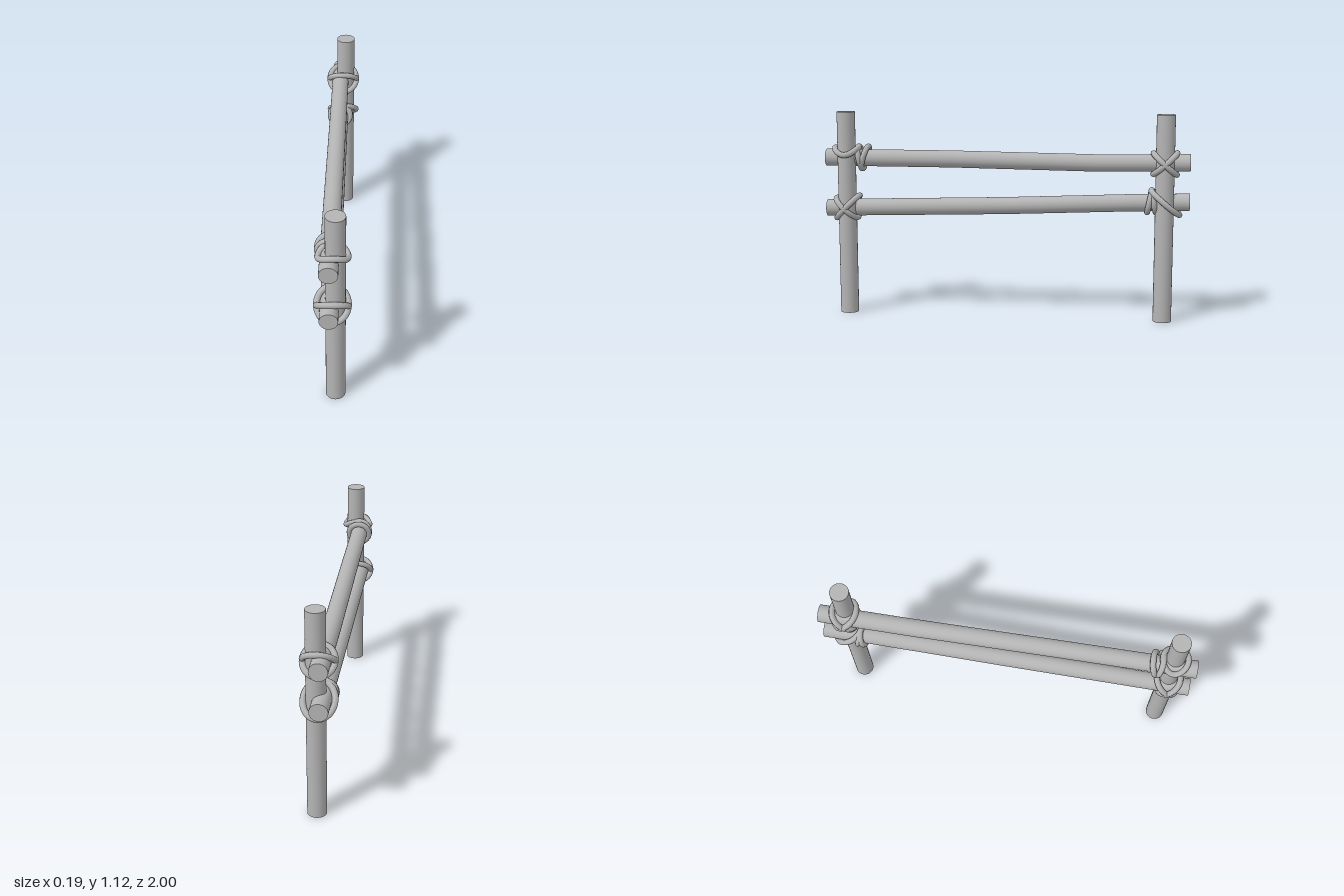
import * as THREE from 'three';

const wood = new THREE.MeshStandardMaterial({ color: 0xb4b4b4 });
wood.name = 'plain grey';

const RAIL_X = -0.02, POST_X = 0.01;

function add(parent, name, geometry) {
  const mesh = new THREE.Mesh(geometry, wood);
  mesh.name = name;
  parent.add(mesh);
  return mesh;
}

// Pole along z whose centre line follows a few [z, y] points
function railGeometry(points) {
  const heightAt = (z) => {
    let i = 0;
    while (i < points.length - 2 && z < points[i + 1][0]) i++;
    const [z0, y0] = points[i], [z1, y1] = points[i + 1];
    return y0 + (y1 - y0) * (z - z0) / (z1 - z0);
  };
  const g = new THREE.CylinderGeometry(0.047, 0.047, 2, 24, 20).rotateX(Math.PI / 2);
  const p = g.attributes.position;
  for (let i = 0; i < p.count; i++) {
    p.setXYZ(i, p.getX(i) + RAIL_X, p.getY(i) + heightAt(p.getZ(i)), p.getZ(i));
  }
  g.computeVertexNormals();
  return g;
}

// Closed rope through points given by a function of the angle
function ropeGeometry(pointAt) {
  const pts = [];
  for (let i = 0; i < 16; i++) pts.push(pointAt(i / 16 * Math.PI * 2));
  return new THREE.TubeGeometry(new THREE.CatmullRomCurve3(pts, true), 48, 0.016, 8, true);
}

// Rope crossing the joint diagonally, round both post and rail
function diagonalLoop(y, z, degrees, reach = 0.09) {
  const a = degrees * Math.PI / 180;
  return ropeGeometry((t) => {
    const d = Math.sin(t) * reach;
    return new THREE.Vector3(-0.005 + 0.078 * Math.cos(t), y + d * Math.sin(a), z + d * Math.cos(a));
  });
}

// Rope round the post, arching over the rail
function postLoop(y, z) {
  return ropeGeometry((t) => new THREE.Vector3(
    -0.002 + 0.072 * Math.cos(t), y + 0.035 * Math.sin(t) ** 2, z + 0.066 * Math.sin(t)));
}

// Rope round the rail, leaning along z
function railLoop(y, z, lean) {
  return ropeGeometry((t) => new THREE.Vector3(
    RAIL_X + 0.059 * Math.cos(t), y + 0.061 * Math.sin(t), z + lean * Math.sin(t)));
}

export function createModel() {
  const model = new THREE.Group();
  model.name = 'fence';

  // Upright posts
  for (const [name, z] of [['frontPost', 0.88], ['backPost', -0.865]]) {
    add(model, name, new THREE.CylinderGeometry(0.05, 0.05, 1.125, 24)).position.set(POST_X, 0.5625, z);
  }

  // Slightly bent rails
  add(model, 'upperRail', railGeometry([[1, 0.868], [0.3, 0.868], [-0.5, 0.858], [-1, 0.866]]));
  add(model, 'lowerRail', railGeometry([[1, 0.585], [0.8, 0.591], [0, 0.615], [-0.7, 0.645], [-1, 0.653]]));

  // Rope lashings at the four joints
  const lashing = (name, loops) => {
    const group = new THREE.Group();
    group.name = name;
    loops.forEach((g, i) => add(group, 'ropeLoop' + (i + 1), g));
    model.add(group);
  };
  lashing('frontUpperLashing', [
    postLoop(0.89, 0.88), railLoop(0.87, 0.807, 0.012), railLoop(0.87, 0.783, -0.018),
  ]);
  lashing('frontLowerLashing', [
    diagonalLoop(0.595, 0.88, -45), diagonalLoop(0.59, 0.885, 42, 0.08),
  ]);
  lashing('backUpperLashing', [
    diagonalLoop(0.86, -0.865, 42, 0.085), diagonalLoop(0.862, -0.865, -42, 0.085),
  ]);
  lashing('backLowerLashing', [
    diagonalLoop(0.65, -0.87, 40, 0.1), railLoop(0.655, -0.808, 0.012), railLoop(0.655, -0.785, -0.012),
  ]);
  return model;
}
